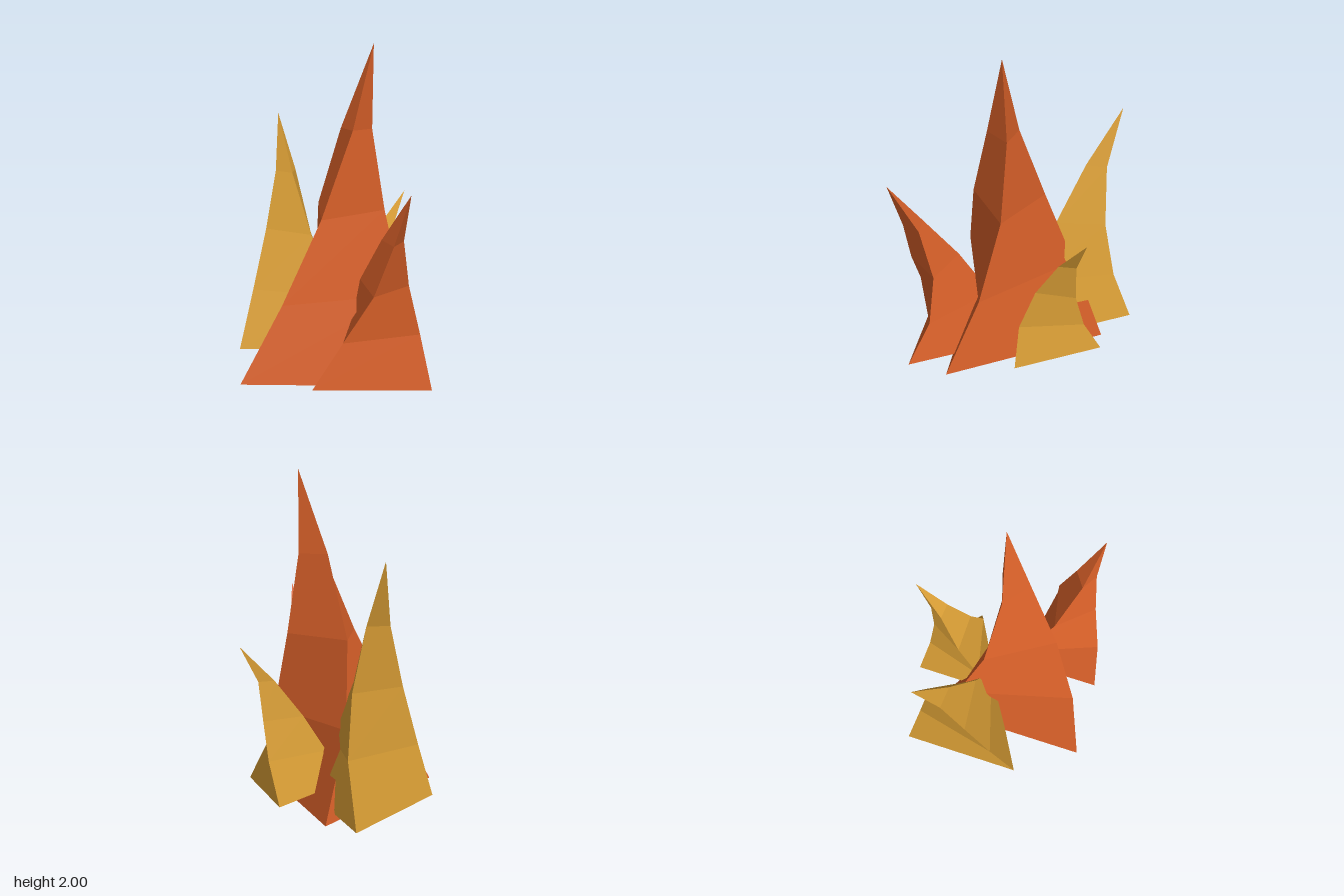
import * as THREE from 'three';

// A flame tongue: stacked triangular rings [a, b, c], counter-clockwise from above, closed by a tip.
function flame(name, material, rings, tip) {
  const points = [], normals = [];
  const vec = (from, to) => new THREE.Vector3(to[0] - from[0], to[1] - from[1], to[2] - from[2]);
  const face = (corners, n) => corners.forEach((p) => {
    points.push(...p);
    normals.push(n.x, n.y, n.z);
  });
  const tri = (a, b, c) => face([a, b, c], vec(a, b).cross(vec(a, c)).normalize());
  // one flat shade over each slightly twisted quad
  const quad = (a, b, c, d) => face([a, b, c, a, c, d], vec(a, c).cross(vec(b, d)).normalize());

  const [a, b, c] = rings[0];
  tri(a, c, b); // underside
  rings.forEach((ring, i) => {
    const next = rings[i + 1];
    for (let j = 0; j < 3; j++) {
      const k = (j + 1) % 3;
      if (next) quad(ring[j], ring[k], next[k], next[j]);
      else tri(ring[j], ring[k], tip);
    }
  });
  const geometry = new THREE.BufferGeometry();
  geometry.setAttribute('position', new THREE.Float32BufferAttribute(points, 3));
  geometry.setAttribute('normal', new THREE.Float32BufferAttribute(normals, 3));
  const mesh = new THREE.Mesh(geometry, material);
  mesh.name = name;
  return mesh;
}

export function createModel() {
  const orange = new THREE.MeshStandardMaterial({ color: 0xd86029 });
  orange.name = 'flame orange';
  const yellow = new THREE.MeshStandardMaterial({ color: 0xdca036 });
  yellow.name = 'flame yellow';

  const group = new THREE.Group();
  group.name = 'fire';
  group.add(
    // tall centre flame
    flame('centreFlame', orange, [
      [[-0.44, 0.03, 0.59], [0.53, 0, 0.13], [-0.35, 0.02, -0.48]],
      [[-0.21, 0.52, 0.48], [0.36, 0.51, -0.01], [-0.34, 0.52, -0.255]],
      [[-0.035, 1.01, 0.31], [0.21, 1.01, -0.07], [-0.24, 1.01, -0.09]],
      [[0.08, 1.51, 0.115], [0.13, 1.5, -0.06], [-0.055, 1.5, -0.02]],
    ], [0.145, 2, -0.04]),
    // small flame at the front left
    flame('frontFlame', orange, [
      [[0.04, 0.09, 0.61], [0.66, 0.08, 0.32], [0.1, 0.08, -0.07]],
      [[0.215, 0.39, 0.57], [0.55, 0.37, 0.225], [0.08, 0.38, 0.105]],
      [[0.37, 0.66, 0.5], [0.48, 0.66, 0.235], [0.19, 0.67, 0.265]],
      [[0.47, 0.95, 0.46], [0.48, 0.95, 0.33], [0.37, 0.96, 0.39]],
    ], [0.57, 1.25, 0.475]),
    // tall flame at the right
    flame('sideFlame', yellow, [
      [[-0.665, 0.07, 0.2], [0.02, 0.05, -0.12], [-0.6, 0.06, -0.555]],
      [[-0.65, 0.42, 0.035], [-0.13, 0.41, -0.08], [-0.49, 0.42, -0.47]],
      [[-0.63, 0.79, -0.12], [-0.31, 0.78, -0.13], [-0.47, 0.78, -0.4]],
      [[-0.62, 1.15, -0.25], [-0.49, 1.15, -0.23], [-0.53, 1.15, -0.355]],
    ], [-0.66, 1.51, -0.375]),
    // small flame at the back
    flame('backFlame', yellow, [
      [[-0.17, 0.12, -0.03], [0.355, 0.12, -0.27], [-0.12, 0.12, -0.6]],
      [[-0.145, 0.35, -0.17], [0.25, 0.35, -0.23], [0, 0.35, -0.54]],
      [[-0.08, 0.58, -0.31], [0.165, 0.58, -0.29], [0.06, 0.57, -0.51]],
      [[0.03, 0.8, -0.44], [0.13, 0.8, -0.425], [0.085, 0.8, -0.52]],
    ], [0.14, 1.01, -0.615]),
  );
  return group;
}
